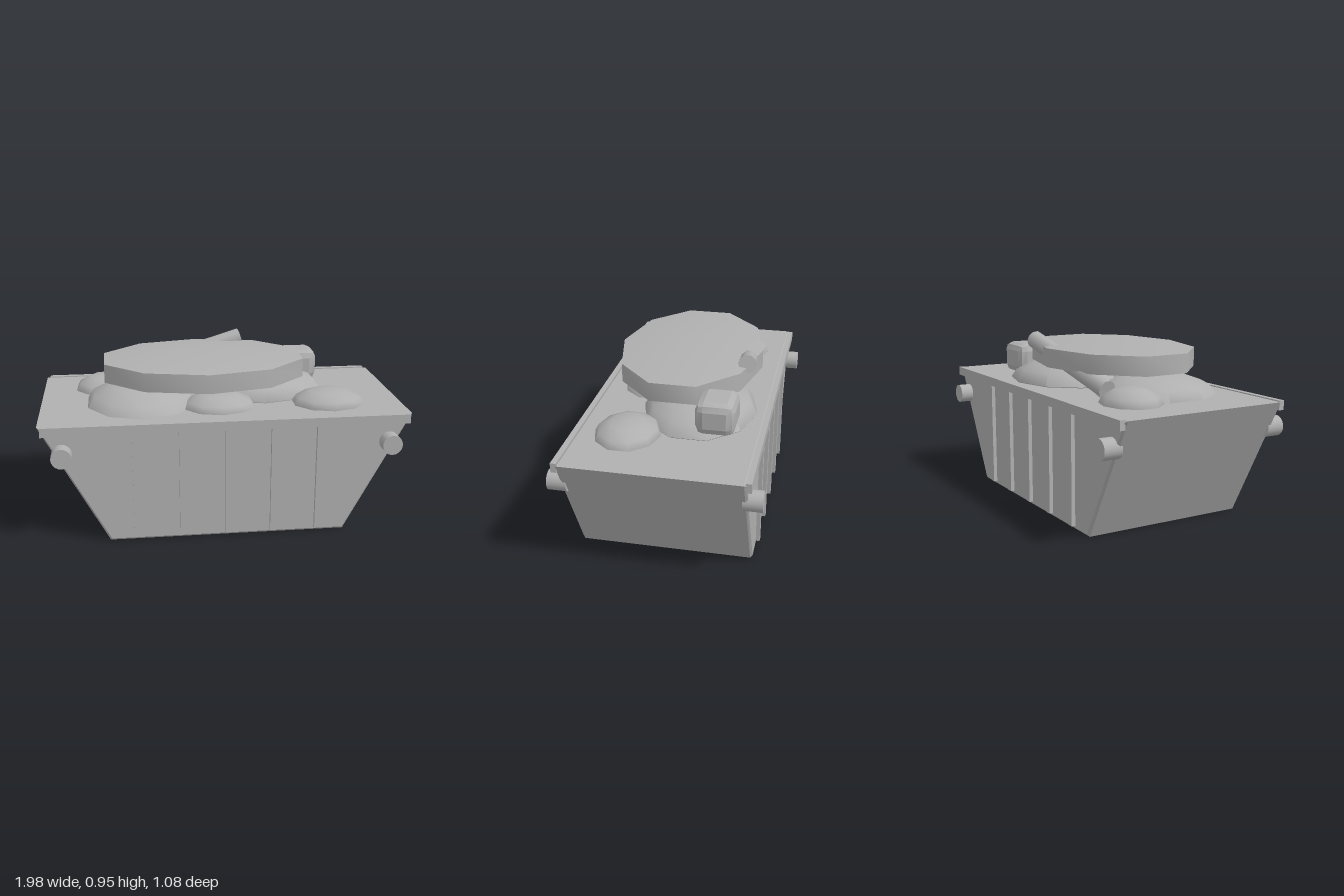
import * as THREE from 'three';
import { toCreasedNormals } from 'three/addons/utils/BufferGeometryUtils.js';
import { RoundedBoxGeometry } from 'three/addons/geometries/RoundedBoxGeometry.js';

export function createModel() {
  const model = new THREE.Group();
  model.name = 'skip';
  const grey = new THREE.MeshStandardMaterial({ color: 0xb0b0b0 });
  grey.name = 'plain grey';

  const add = (name, geometry, x = 0, y = 0, z = 0) => {
    const mesh = new THREE.Mesh(geometry, grey);
    mesh.name = name;
    mesh.position.set(x, y, z);
    model.add(mesh);
    return mesh;
  };

  // Ten-sided squashed ball with its facets facing +x and -x
  const lump = (rx, ry, rz, rings, crease) => {
    const profile = [];
    for (let i = 0; i <= rings; i++) {
      const a = -Math.PI / 2 + (Math.PI * i) / rings;
      profile.push(new THREE.Vector2(Math.max(0, Math.cos(a)), Math.sin(a)));
    }
    const g = new THREE.LatheGeometry(profile, 10);
    g.scale(rx, ry, rz);
    g.deleteAttribute('normal');
    return toCreasedNormals(g, crease);
  };

  // Tapered body with bevelled edges, filled to the brim
  const bevel = 0.012;
  const side = new THREE.Shape([
    new THREE.Vector2(-0.63, bevel),
    new THREE.Vector2(0.63, bevel),
    new THREE.Vector2(0.977, 0.648),
    new THREE.Vector2(-0.977, 0.648),
  ]);
  const body = new THREE.ExtrudeGeometry(side, {
    depth: 0.91, bevelEnabled: true, bevelThickness: bevel, bevelSize: bevel, bevelSegments: 1,
  });
  body.translate(0, 0, -0.455);
  add('body', body);

  // Rails, ribs and lifting lugs on both long sides
  for (const s of [1, -1]) {
    add('topRail', new THREE.BoxGeometry(1.95, 0.05, 0.03), 0, 0.636, s * 0.476);
    for (let i = -2; i <= 2; i++) {
      add('rib', new THREE.BoxGeometry(0.036, 0.59, 0.03), i * 0.245, 0.317, s * 0.473);
    }
    for (const x of [-0.87, 0.87]) {
      const lug = new THREE.CylinderGeometry(0.054, 0.054, 0.1, 20);
      lug.rotateX(Math.PI / 2);
      add('liftingLug', lug, x, 0.508, s * 0.49);
    }
  }

  // Heaps of rubble: x, y, z, then radii
  const heaps = [
    [-0.44, 0.65, 0.06, 0.315, 0.12, 0.34],
    [-0.63, 0.645, -0.21, 0.188, 0.1, 0.165],
    [0.59, 0.65, 0.205, 0.208, 0.085, 0.178],
    [0.24, 0.66, -0.11, 0.38, 0.13, 0.31],
    [-0.02, 0.645, 0.2, 0.21, 0.09, 0.18],
  ];
  for (const [x, y, z, rx, ry, rz] of heaps) {
    add('rubbleHeap', lump(rx, ry, rz, 6, 1.2), x, y, z);
  }

  // Broad flat slab on top of the load
  add('slab', lump(0.667, 0.1025, 0.462, 3, 0.9), -0.09, 0.836, 0);

  // Chamfered block at the back
  const block = toCreasedNormals(new RoundedBoxGeometry(0.24, 0.175, 0.205, 1, 0.042), 0.3);
  add('block', block, 0.48, 0.768, -0.243);

  // Tilted pipe running through the slab
  const low = new THREE.Vector3(-0.52, 0.715, -0.285);
  const high = new THREE.Vector3(0.168, 0.908, -0.347);
  const axis = high.clone().sub(low);
  const mid = low.clone().add(high).multiplyScalar(0.5);
  const pipe = add('pipe', new THREE.CylinderGeometry(0.05, 0.05, axis.length(), 10), mid.x, mid.y, mid.z);
  pipe.quaternion.setFromUnitVectors(new THREE.Vector3(0, 1, 0), axis.normalize());

  return model;
}
